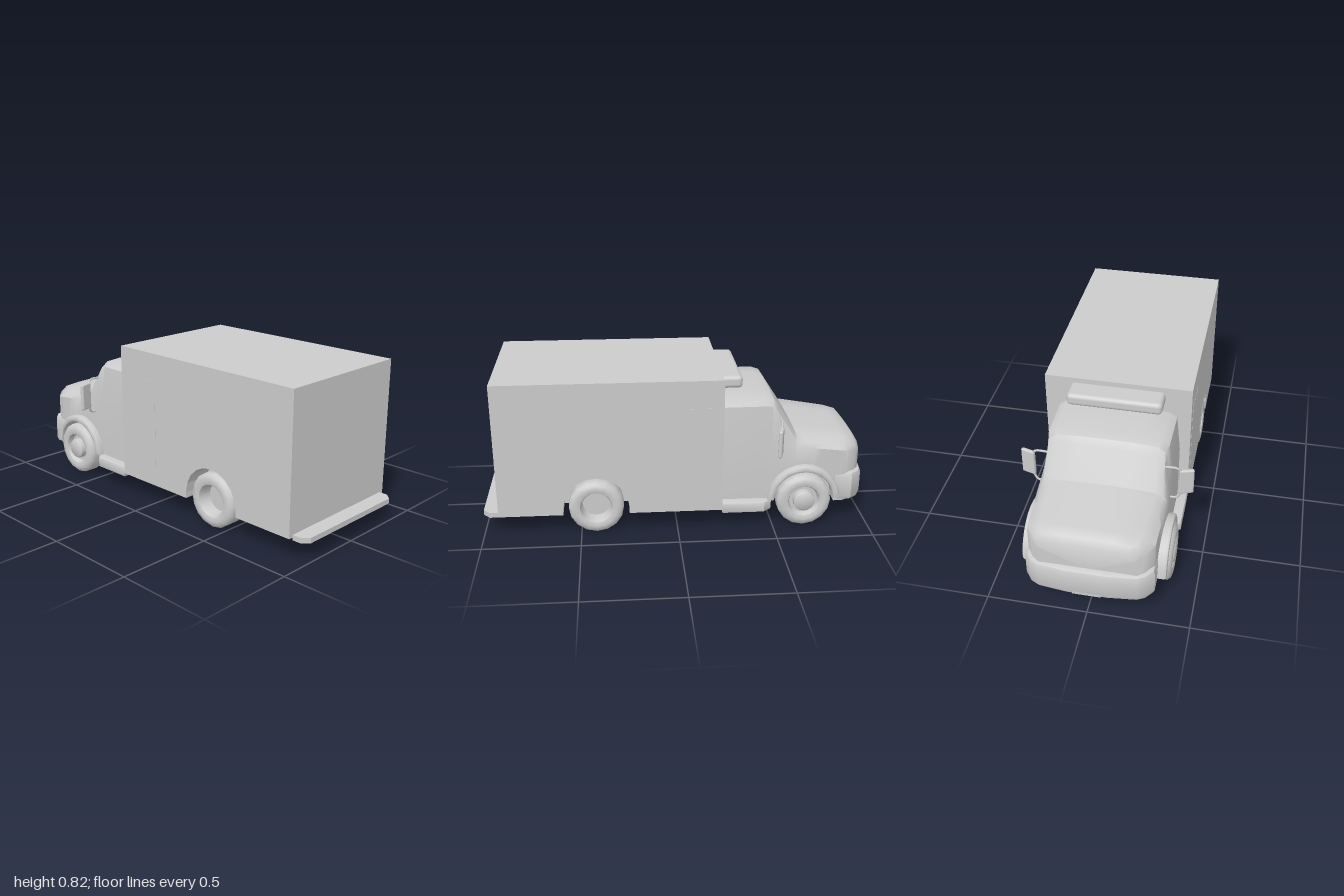
import * as THREE from 'three';
import { toCreasedNormals } from 'three/addons/utils/BufferGeometryUtils.js';
import { RoundedBoxGeometry } from 'three/addons/geometries/RoundedBoxGeometry.js';

const material = new THREE.MeshStandardMaterial({ color: 0xcccccc });
const FRONT_X = -0.66, REAR_X = 0.42, AXLE_Y = 0.142, ARCH_R = 0.17;

export function createModel() {
  const model = new THREE.Group();
  const add = (name, geometry) => {
    const mesh = new THREE.Mesh(geometry, material);
    mesh.name = name;
    model.add(mesh);
    return mesh;
  };
  const box = (name, x0, x1, y0, y1, z0, z1) => add(name,
    new THREE.BoxGeometry(x1 - x0, y1 - y0, z1 - z0)
      .translate((x0 + x1) / 2, (y0 + y1) / 2, (z0 + z1) / 2));
  const toShape = pts => new THREE.Shape(pts.map(p => new THREE.Vector2(...p)));
  // side outline (x, y) pushed from z0 to z1
  const sideSlab = (name, pts, z0, z1) => add(name,
    new THREE.ExtrudeGeometry(toShape(pts), { depth: z1 - z0, bevelEnabled: false }).translate(0, 0, z0));
  // plan outline (x, z) pushed from y0 to y1, with softened rims
  const planSlab = (name, pts, y0, y1, bevel) => add(name, toCreasedNormals(
    new THREE.ExtrudeGeometry(toShape(pts), {
      depth: y1 - y0 - 2 * bevel, bevelEnabled: bevel > 0, bevelSize: bevel,
      bevelThickness: bevel, bevelOffset: -bevel, bevelSegments: 2,
    }).rotateX(Math.PI / 2).translate(0, y1 - bevel, 0), 0.6));
  const arc = (cx, r, n = 10) => Array.from({ length: n + 1 }, (_, i) => {
    const a = Math.PI * (1 - i / n);
    return [cx + r * Math.cos(a), AXLE_Y + r * Math.sin(a)];
  });

  // cargo box: centre core plus side slabs with wheel arches
  box('cargoBoxCore', -0.23, 0.92, 0.11, 0.82, -0.24, 0.24);
  const sidePts = [[-0.23, 0.11], [REAR_X - ARCH_R, 0.11], ...arc(REAR_X, ARCH_R),
    [REAR_X + ARCH_R, 0.11], [0.92, 0.11], [0.92, 0.82], [-0.23, 0.82]];
  sideSlab('cargoBoxLeftSide', sidePts, 0.24, 0.374);
  sideSlab('cargoBoxRightSide', sidePts, -0.374, -0.24);

  add('cab', cabGeometry());

  // bumper, number plate blank, rear step, roof light bar
  const halfBumper = [[-0.83, 0.315], [-0.92, 0.315], [-0.965, 0.28], [-0.985, 0.24], [-1, 0.1]];
  const mirrored = half => [...half, ...half.map(([x, z]) => [x, -z]).reverse()];
  planSlab('frontBumper', mirrored(halfBumper), 0.11, 0.27, 0.025);
  box('plateBlank', -1, -0.96, 0.12, 0.18, -0.07, 0.07);
  planSlab('rearStep', mirrored([[0.92, 0.35], [0.965, 0.35], [1, 0.315]]), 0.097, 0.124, 0);
  add('lightBar', new RoundedBoxGeometry(0.14, 0.065, 0.48, 3, 0.022)).position.set(-0.27, 0.76, 0);

  for (const s of [1, -1]) {
    const side = s > 0 ? 'left' : 'right';

    // raised side door panel
    const d = box(side + 'Door', -0.165, 0.025, 0.178, 0.675, -0.001, 0.001);
    d.position.z = 0.374 * s;

    // wheels: front hubs stand out, rear rims are dished
    for (const [x, label] of [[FRONT_X, 'Front'], [REAR_X, 'Rear']]) {
      const w = add(side + label + 'Wheel', wheelGeometry(label === 'Front'));
      w.rotation.x = s * Math.PI / 2;
      w.position.set(x, AXLE_Y, 0.255 * s);
    }

    // rounded lip over the front wheel
    const lip = [...arc(FRONT_X, 0.19, 12), ...arc(FRONT_X, 0.155, 12).reverse()];
    add(side + 'Fender', toCreasedNormals(new THREE.ExtrudeGeometry(toShape(lip), {
      depth: 0.06, bevelSize: 0.014, bevelThickness: 0.014, bevelOffset: -0.014, bevelSegments: 2,
    }).translate(0, 0, s > 0 ? 0.286 : -0.346), 0.7));

    // running board below the cab door
    const board = [[-0.23, 0.24], [-0.49, 0.24], [-0.49, 0.34], [-0.45, 0.374], [-0.23, 0.374]];
    planSlab(side + 'RunningBoard', board.map(([x, z]) => [x, z * s]), 0.087, 0.145, 0.01);

    // wing mirror on a bent arm
    const mirror = add(side + 'Mirror', new RoundedBoxGeometry(0.022, 0.145, 0.075, 2, 0.009));
    mirror.position.set(-0.517, 0.49, 0.396 * s);
    mirror.rotation.y = 0.28 * s;
    const path = [[-0.53, 0.39, 0.31], [-0.53, 0.39, 0.35], [-0.524, 0.43, 0.372],
      [-0.524, 0.55, 0.372], [-0.53, 0.575, 0.35], [-0.53, 0.575, 0.28]];
    const curve = new THREE.CatmullRomCurve3(path.map(([x, y, z]) => new THREE.Vector3(x, y, z * s)));
    add(side + 'MirrorArm', new THREE.TubeGeometry(curve, 20, 0.006, 6));
  }
  return model;
}

// turned tyre and rim, axis along y, outer face at the top
function wheelGeometry(hub) {
  const tyre = [[0, 0], [0.1, 0], [0.128, 0.006], [0.142, 0.024], [0.142, 0.098],
    [0.128, 0.114], [0.105, 0.12], [0.085, 0.114], [0.078, 0.1]];
  const rim = hub
    ? [[0.075, 0.085], [0.056, 0.085], [0.054, 0.115], [0.046, 0.122], [0, 0.122]]
    : [[0.074, 0.045], [0, 0.045]];
  const pts = [...tyre, ...rim].map(p => new THREE.Vector2(...p));
  return toCreasedNormals(new THREE.LatheGeometry(pts, 16), 0.75);
}

// cab lofted from nose to rear, with the floor lifted over the front wheels
function cabGeometry() {
  // x, half width, belt height, half width of roof or bonnet, top height
  const keys = [
    [-0.965, 0.235, 0.36, 0.215, 0.41],
    [-0.94, 0.27, 0.38, 0.235, 0.44],
    [-0.88, 0.308, 0.395, 0.265, 0.45],
    [-0.62, 0.32, 0.43, 0.28, 0.49],
    [-0.5, 0.323, 0.45, 0.27, 0.675],
    [-0.46, 0.323, 0.45, 0.282, 0.685],
    [-0.23, 0.323, 0.45, 0.285, 0.685],
  ];
  const at = x => {
    const i = Math.max(1, keys.findIndex(k => k[0] >= x));
    const [a, b] = [keys[i - 1], keys[i]];
    const t = (x - a[0]) / (b[0] - a[0]);
    return a.map((v, j) => v + (b[j] - v) * t);
  };
  const stations = keys.map(k => [k[0], 0.11]);
  for (let i = 0; i <= 10; i++) {
    const dx = -ARCH_R * Math.cos(Math.PI * i / 10);
    stations.push([FRONT_X + dx, 0.142]);
  }
  stations.push([FRONT_X - ARCH_R - 1e-4, 0.11], [FRONT_X + ARCH_R + 1e-4, 0.11]);
  stations.sort((a, b) => a[0] - b[0]);

  const rings = stations.map(([sx, floor]) => {
    const [x, w, belt, wt, top] = at(sx);
    const dx = x - FRONT_X;
    const inArch = Math.abs(dx) < ARCH_R;
    const under = inArch ? AXLE_Y + Math.sqrt(ARCH_R ** 2 - dx ** 2) : floor;
    const inner = Math.min(0.24, w - 0.02);
    const half = [[0, 0.11], [inner, 0.11], [inner, under], [w, under], [w, belt],
      [wt + 0.018, top - 0.035], [wt - 0.02, top - 0.009], [wt * 0.5, top - 0.002], [0, top]];
    const other = half.slice(1, -1).reverse().map(([z, y]) => [-z, y]);
    return [...half, ...other].map(([z, y]) => [x, y, z]);
  });

  const n = rings[0].length, last = rings.length - 1;
  const index = [];
  for (let i = 0; i < last; i++) {
    for (let j = 0; j < n; j++) {
      const k = (j + 1) % n, a = i * n + j, b = i * n + k;
      index.push(a, a + n, b + n, a, b + n, b);
    }
  }
  // end caps around a centre point
  const verts = rings.flat();
  verts.push([rings[0][0][0], 0.26, 0], [rings[last][0][0], 0.35, 0]);
  for (let j = 0; j < n; j++) {
    const k = (j + 1) % n;
    index.push(verts.length - 2, j, k, verts.length - 1, last * n + k, last * n + j);
  }
  const geometry = new THREE.BufferGeometry();
  geometry.setAttribute('position', new THREE.Float32BufferAttribute(verts.flat(), 3));
  geometry.setIndex(index);
  return toCreasedNormals(geometry, 0.8);
}
